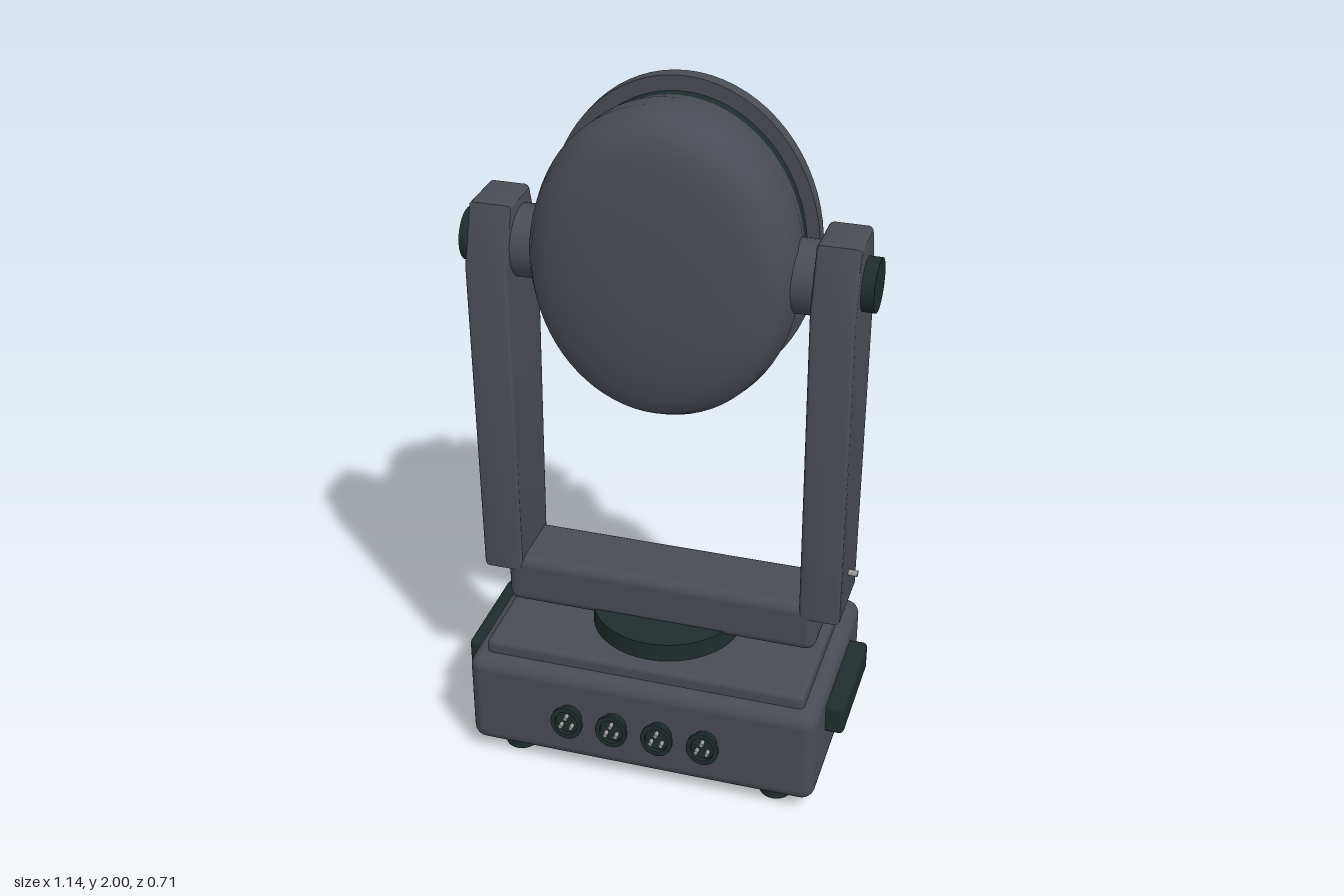
import * as THREE from 'three';
import { RoundedBoxGeometry } from 'three/addons/geometries/RoundedBoxGeometry.js';
import { toCreasedNormals } from 'three/addons/utils/BufferGeometryUtils.js';

const paint = (name, color) => Object.assign(new THREE.MeshStandardMaterial({ color }), { name });

export function createModel() {
  const model = new THREE.Group();
  model.name = 'movingHeadLight';
  const housing = paint('housing grey', 0x4a4c55);
  const dark = paint('dark trim', 0x1f2d2c);
  const face = paint('face grey', 0x404147);
  const teal = paint('teal glass', 0x347f8e);
  const purple = paint('purple pin', 0x7a4690);
  const metal = paint('bare metal', 0x9a9a9c);

  const add = (parent, name, geo, mat, x = 0, y = 0, z = 0) => {
    const mesh = new THREE.Mesh(geo, mat);
    mesh.name = name;
    mesh.position.set(x, y, z);
    parent.add(mesh);
    return mesh;
  };
  const box = (w, h, d, r) => new RoundedBoxGeometry(w, h, d, 3, r);
  // Cylinders along each axis
  const cylY = (r, h, n = 32) => new THREE.CylinderGeometry(r, r, h, n);
  const cylX = (r, h, n = 32) => cylY(r, h, n).rotateZ(Math.PI / 2);
  const cylZ = (r, h, n = 32) => cylY(r, h, n).rotateX(Math.PI / 2);
  // Lathe about z; points are [radius, z] from low z to high z
  const latheZ = (pts, n = 64, crease = 0.6) => toCreasedNormals(
    new THREE.LatheGeometry(pts.map(p => new THREE.Vector2(...p)), n).rotateX(Math.PI / 2), crease);

  // Base with raised top, feet and side handles
  const base = new THREE.Group();
  base.name = 'base';
  model.add(base);
  add(base, 'baseBody', box(1.03, 0.3, 0.62, 0.04), housing, 0, 0.19, 0);
  add(base, 'baseTop', box(0.94, 0.08, 0.53, 0.015), housing, 0, 0.34, 0);
  for (const s of [-1, 1]) {
    for (const t of [-1, 1]) add(base, 'foot', cylY(0.047, 0.05), dark, s * 0.39, 0.025, t * 0.22);
    add(base, 'sideHandle', box(0.08, 0.095, 0.335, 0.015), dark, s * 0.528, 0.24, 0);
  }

  // Front connectors: flared ring, recessed disc and three contacts
  const ring = latheZ([[0.036, 0], [0.038, 0.02], [0.047, 0.026], [0.047, 0.036], [0.034, 0.036], [0.034, 0.024]], 32);
  for (const x of [-0.205, -0.07, 0.065, 0.2]) {
    const socket = new THREE.Group();
    socket.name = 'connector';
    socket.position.set(x, 0.195, 0.308);
    socket.scale.y = 1.15;
    base.add(socket);
    add(socket, 'connectorRing', ring, dark);
    add(socket, 'connectorDisc', cylZ(0.035, 0.026, 24), dark, 0, 0, 0.012);
    for (let i = 0; i < 3; i++) {
      const a = Math.PI / 2 + i * Math.PI * 2 / 3;
      add(socket, 'contact', cylZ(0.006, 0.02, 10), metal, 0.018 * Math.cos(a), 0.018 * Math.sin(a), 0.033);
    }
  }

  // Rear control panel
  add(base, 'controlPanel', box(0.48, 0.185, 0.04, 0.006), dark, 0, 0.2, -0.311);
  add(base, 'screen', box(0.2, 0.115, 0.035, 0.006), teal, -0.08, 0.2, -0.338);
  for (const x of [0.065, 0.105, 0.143, 0.181]) {
    add(base, 'button', cylZ(0.012, 0.03, 16), housing, x, 0.2, -0.34);
  }

  // Turntable and yoke
  const yoke = new THREE.Group();
  yoke.name = 'yoke';
  model.add(yoke);
  add(yoke, 'turntable', cylY(0.22, 0.06, 48), dark, 0, 0.406, 0);
  add(yoke, 'crossbar', box(0.92, 0.155, 0.21, 0.03), housing, 0, 0.4925, 0);
  const b = 0.015;
  const outline = new THREE.Shape([
    [-0.108, 0.53], [0.108, 0.53], [0.13, 1.5], [0.08, 1.668], [-0.08, 1.668], [-0.13, 1.5],
  ].map(([z, y]) => new THREE.Vector2(z - Math.sign(z) * b, y + (y < 1 ? b : y > 1.6 ? -b : 0))));
  const arm = toCreasedNormals(new THREE.ExtrudeGeometry(outline, {
    depth: 0.12 - 2 * b, bevelThickness: b, bevelSize: b, bevelSegments: 3,
  }).translate(0, 0, -0.06 + b).rotateY(-Math.PI / 2), 0.5);
  for (const s of [-1, 1]) {
    add(yoke, 'arm', arm, housing, s * 0.47, 0, 0);
    add(yoke, 'pivotCap', cylX(0.073, 0.05), dark, s * 0.54, 1.54, 0);
    add(yoke, 'pivotShaft', cylX(0.1, 0.13), housing, s * 0.355, 1.54, 0);
    add(yoke, 'armScrew', cylX(0.009, 0.04, 12), metal, s * 0.536, 0.65, 0.015);
  }

  // Oval lamp head, narrowed in x
  const head = new THREE.Group();
  head.name = 'head';
  head.position.y = 1.545;
  head.scale.x = 0.835;
  model.add(head);
  add(head, 'headShell', latheZ([
    [0.41, -0.11], [0.428, -0.04], [0.438, 0.045], [0.425, 0.095], [0.4, 0.138], [0.345, 0.158],
    [0.25, 0.171], [0.12, 0.175], [0, 0.176],
  ], 72, 0.8), housing);
  add(head, 'gasket', cylZ(0.413, 0.04, 72), dark, 0, 0, -0.115);
  add(head, 'rim', latheZ([
    [0.395, -0.155], [0.395, -0.18], [0.41, -0.18], [0.41, -0.168], [0.455, -0.168],
    [0.455, -0.127], [0.4, -0.127],
  ], 72), housing);
  add(head, 'facePlate', cylZ(0.4, 0.02, 72), face, 0, 0, -0.16);

  // Lenses: one in the middle, a ring of six and a ring of twelve
  const lens = latheZ([
    [0, -0.257], [0.05, -0.257], [0.053, -0.261], [0.061, -0.261], [0.062, -0.242],
    [0.068, -0.24], [0.068, -0.225], [0, -0.225],
  ], 32);
  for (const [count, radius] of [[1, 0], [6, 0.172], [12, 0.327]]) {
    for (let i = 0; i < count; i++) {
      const a = i * Math.PI * 2 / count;
      const x = radius * Math.cos(a), y = radius * Math.sin(a);
      add(head, 'lens', lens, teal, x, y, 0);
      add(head, 'lensCentrePin', cylZ(0.007, 0.02, 10), metal, x, y, -0.264);
      if (count < 12) continue;
      // Pins on the outward edge of the outer lenses
      for (const t of [-1, 1]) {
        const p = a + t * 0.95;
        add(head, 'edgePin', cylZ(0.009, 0.035, 10), purple,
          x + 0.059 * Math.cos(p), y + 0.059 * Math.sin(p), -0.267);
      }
    }
  }
  return model;
}
